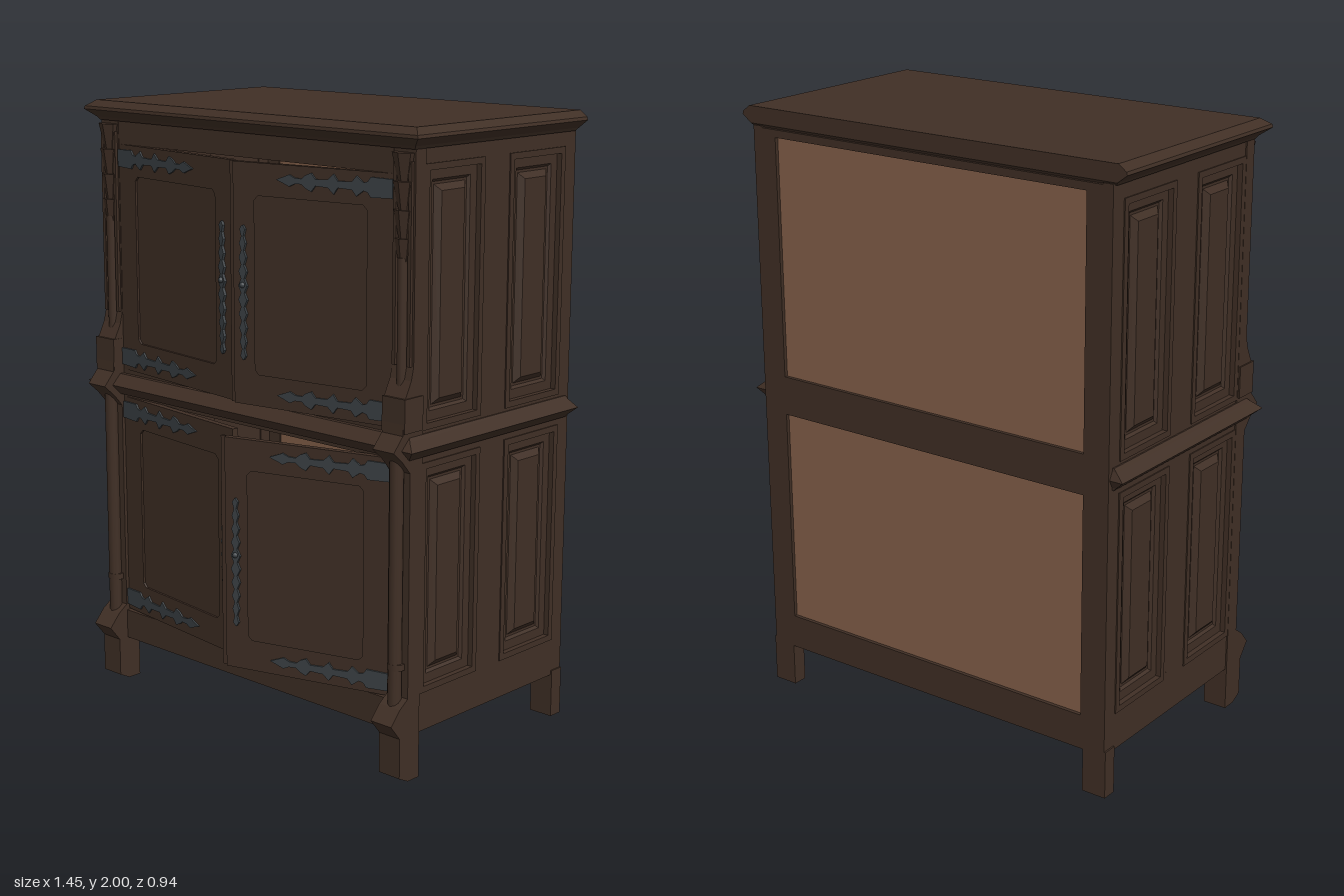
import * as THREE from 'three';

const mat = (name, color, side = THREE.FrontSide) => {
  const m = new THREE.MeshStandardMaterial({ color, side });
  m.name = name;
  return m;
};

export function createModel() {
  const wood = mat('darkWood', 0x402f25);
  const backWood = mat('lightBackWood', 0x85604a);
  const iron = mat('iron', 0x3b4145);
  const model = new THREE.Group();
  model.name = 'cabinet';

  const add = (name, geo, m = wood, parent = model) => {
    const mesh = new THREE.Mesh(geo, m);
    mesh.name = name;
    parent.add(mesh);
    return mesh;
  };
  const box = (name, x0, x1, y0, y1, z0, z1, m = wood, parent = model) => {
    const g = new THREE.BoxGeometry(x1 - x0, y1 - y0, z1 - z0);
    g.translate((x0 + x1) / 2, (y0 + y1) / 2, (z0 + z1) / 2);
    return add(name, g, m, parent);
  };
  const shapeOf = (pts) => new THREE.Shape(pts.map(([x, y]) => new THREE.Vector2(x, y)));
  const rect = (x0, x1, y0, y1) => [[x0, y0], [x1, y0], [x1, y1], [x0, y1]];
  const plate = (pts, depth, holes = []) => {
    const s = shapeOf(pts);
    s.holes = holes.map(shapeOf);
    return new THREE.ExtrudeGeometry(s, { depth, bevelEnabled: false });
  };
  // Outline drawn in (z, y), extruded across x from x0 to x1
  const prism = (pts, x0, x1, holes = []) =>
    plate(pts, x1 - x0, holes).rotateY(-Math.PI / 2).translate(x1, 0, 0);

  // Stack of rectangles: [y, half width, back z, front z]
  const loft = (levels) => {
    const rings = levels.map(([y, h, b, f]) => [[-h, y, f], [h, y, f], [h, y, b], [-h, y, b]]);
    const p = [];
    const quad = (a, b, c, d) => p.push(...a, ...b, ...c, ...a, ...c, ...d);
    for (let k = 0; k + 1 < rings.length; k++) {
      for (let i = 0; i < 4; i++) {
        const j = (i + 1) % 4;
        quad(rings[k][i], rings[k][j], rings[k + 1][j], rings[k + 1][i]);
      }
    }
    quad(...rings[rings.length - 1]);
    quad(...[...rings[0]].reverse());
    const g = new THREE.BufferGeometry();
    g.setAttribute('position', new THREE.Float32BufferAttribute(p, 3));
    g.computeVertexNormals();
    return g;
  };

  // Cornice and waist moulding
  add('cornice', loft([[1.935, 0.685, -0.46, 0.305], [1.945, 0.692, -0.47, 0.312],
    [1.97, 0.725, -0.47, 0.34], [1.98, 0.722, -0.47, 0.338], [2, 0.695, -0.47, 0.31]]));
  add('waistMoulding', loft([[1.02, 0.685, -0.45, 0.315], [1.03, 0.695, -0.452, 0.325],
    [1.055, 0.725, -0.465, 0.35], [1.08, 0.695, -0.452, 0.325], [1.09, 0.685, -0.45, 0.315]]));

  // Front rails, floor and back
  box('frontTopRail', -0.6, 0.6, 1.86, 1.94, 0.26, 0.3);
  box('frontWaistRail', -0.6, 0.6, 1.005, 1.105, 0.26, 0.3);
  box('frontBottomRail', -0.6, 0.6, 0.15, 0.25, 0.26, 0.31);
  box('floor', -0.65, 0.65, 0.225, 0.25, -0.44, 0.27);
  add('backFrame', plate(rect(-0.65, 0.65, 0.145, 1.935), 0.03,
    [rect(-0.59, 0.59, 0.26, 0.99), rect(-0.59, 0.59, 1.12, 1.91)]).translate(0, 0, -0.47));
  box('upperBackPanel', -0.6, 0.6, 1.11, 1.92, -0.458, -0.445, backWood);
  box('lowerBackPanel', -0.6, 0.6, 0.25, 1, -0.458, -0.445, backWood);

  // Panelled sides and corner posts
  const panels = [];
  for (const [y0, y1] of [[0.27, 1], [1.1, 1.89]])
    for (const [z0, z1] of [[-0.415, -0.14], [-0.02, 0.255]]) panels.push([z0, z1, y0, y1]);

  for (const s of [-1, 1]) {
    const span = (a, b) => (s > 0 ? [a, b] : [-b, -a]);
    const tag = s > 0 ? 'left' : 'right';
    add(tag + 'SideFrame', prism(rect(-0.47, 0.3, 0.145, 1.94), ...span(0.645, 0.68),
      panels.map(([a, b, c, d]) => rect(a + 0.02, b - 0.02, c + 0.02, d - 0.02))));
    for (const [z0, z1, y0, y1] of panels) {
      // Raised field rising from a sunken groove, inside a thin moulding
      const h = (y1 - y0) / 2;
      const field = loft([[0.65, h, z0, z1], [0.666, h - 0.015, z0 + 0.015, z1 - 0.015],
        [0.666, h - 0.05, z0 + 0.05, z1 - 0.05], [0.658, h - 0.058, z0 + 0.058, z1 - 0.058],
        [0.658, h - 0.066, z0 + 0.066, z1 - 0.066], [0.674, h - 0.085, z0 + 0.085, z1 - 0.085]]);
      field.rotateZ(-s * Math.PI / 2).translate(0, (y0 + y1) / 2, 0);
      add(tag + 'SidePanel', field);
      add(tag + 'SidePanelMoulding', prism(rect(z0, z1, y0, y1), ...span(0.679, 0.684),
        [rect(z0 + 0.02, z1 - 0.02, y0 + 0.02, y1 - 0.02)]));
    }
    box(tag + 'BackFoot', ...span(0.6, 0.685), 0, 0.16, -0.47, -0.42);
    // Front post, with flared foot and waist corners
    add(tag + 'LowerPost', prism([[0.255, 0], [0.305, 0], [0.345, 0.02], [0.345, 0.15],
      [0.385, 0.2], [0.345, 0.245], [0.31, 0.27], [0.31, 0.98], [0.345, 1.02],
      [0.385, 1.055], [0.345, 1.1], [0.255, 1.1]], ...span(0.602, 0.685)));
    add(tag + 'UpperPost', prism([[0.255, 1.09], [0.345, 1.09], [0.34, 1.2], [0.31, 1.26],
      [0.3, 1.3], [0.3, 1.94], [0.255, 1.94]], ...span(0.602, 0.685)));
    box(tag + 'UpperPostBlock', ...span(0.6, 0.69), 1.105, 1.21, 0.26, 0.343);

    // Slim columns on the posts
    const column = (name, r, y0, y1, z) =>
      add(name, new THREE.CylinderGeometry(r, r, y1 - y0, 10).translate(s * 0.643, (y0 + y1) / 2, z));
    column(tag + 'LowerColumn', 0.022, 0.24, 1.03, 0.322);
    column(tag + 'LowerColumnRing', 0.029, 0.36, 0.38, 0.316);
    column(tag + 'UpperColumn', 0.016, 1.2, 1.62, 0.304);
    // Carved pendants tapering downwards
    for (let i = 0; i < 4; i++) {
      const w = 0.042 - i * 0.004;
      const g = new THREE.CylinderGeometry(w, 0.008, 0.13, 6).toNonIndexed();
      g.computeVertexNormals();
      g.scale(1, 1, 0.72).translate(s * 0.643, 1.86 - i * 0.083, 0.302);
      add(tag + 'CarvedPendant', g);
    }
    for (const x of [0.614, 0.672]) box(tag + 'PostRib', ...span(x - 0.006, x + 0.006), 1.3, 1.9, 0.295, 0.31);
  }

  // Ornamental ironwork: half-outline [distance, half height], mirrored about its axis
  const strapHalf = [[0, 0.028], [0.075, 0.03], [0.085, 0.016], [0.1, 0.012], [0.125, 0.03],
    [0.14, 0.012], [0.19, 0.01], [0.205, 0.03], [0.225, 0.012], [0.27, 0.01], [0.285, 0.028],
    [0.305, 0.02], [0.32, 0.008], [0.345, 0.009], [0.365, 0.018], [0.385, 0.01], [0.41, 0.001]];
  const pullHalf = [[-0.21, 0.002]];
  for (let i = -9; i <= 9; i++)
    pullHalf.push([i * 0.022, (i % 2 ? 0.017 : 0.006) * (1 - Math.abs(i) / 22)]);
  pullHalf.push([0.21, 0.002]);
  const mirrorOutline = (half) => [...half, ...half.map(([x, h]) => [x, -h]).reverse()];

  // Doors standing ajar; each is built from its hinge edge towards the centre
  const door = (name, s, y0, y1, width, angle) => {
    const g = new THREE.Group();
    g.name = name;
    g.position.set(s * 0.6, 0, 0.3);
    g.rotation.y = s * angle;
    model.add(g);
    const flip = (pts) => pts.map(([x, y]) => [-s * x, y]);
    // Panel opening with small notched corners
    const a = 0.09, b = width - 0.08, c = y0 + 0.1, d = y1 - 0.1, n = 0.014;
    const hole = [[a + n, c], [b - n, c], [b, c + n], [b, d - n], [b - n, d], [a + n, d], [a, d - n], [a, c + n]];
    add('doorFrame', plate(flip(rect(0, width, y0, y1)), 0.022, [flip(hole)]).translate(0, 0, -0.022), wood, g);
    add('doorPanel', plate(flip(rect(a - 0.01, b + 0.01, c - 0.01, d + 0.01)), 0.01).translate(0, 0, -0.017), wood, g);
    if (s > 0) add('doorLip', plate(flip(rect(width, width + 0.02, y0, y1)), 0.01).translate(0, 0, -0.022), wood, g);
    for (const y of [y0 + 0.045, y1 - 0.045])
      add('hingeStrap', plate(flip(mirrorOutline(strapHalf)), 0.006).translate(0, y, 0), iron, g);
    const pull = plate(mirrorOutline(pullHalf), 0.009).rotateZ(Math.PI / 2);
    add('handlePlate', pull.translate(-s * (width - 0.04), (y0 + y1) / 2 - 0.025, 0), iron, g);
    add('handleKnob', new THREE.SphereGeometry(0.009, 10, 8)
      .translate(-s * (width - 0.04), (y0 + y1) / 2, 0.01), iron, g);
  };
  door('upperRightDoor', -1, 1.105, 1.86, 0.602, 0.12);
  door('lowerRightDoor', -1, 0.255, 1.01, 0.602, 0.12);
  door('upperLeftDoor', 1, 1.105, 1.86, 0.578, 0.16);
  door('lowerLeftDoor', 1, 0.255, 1.01, 0.573, 0.28);

  return model;
}
